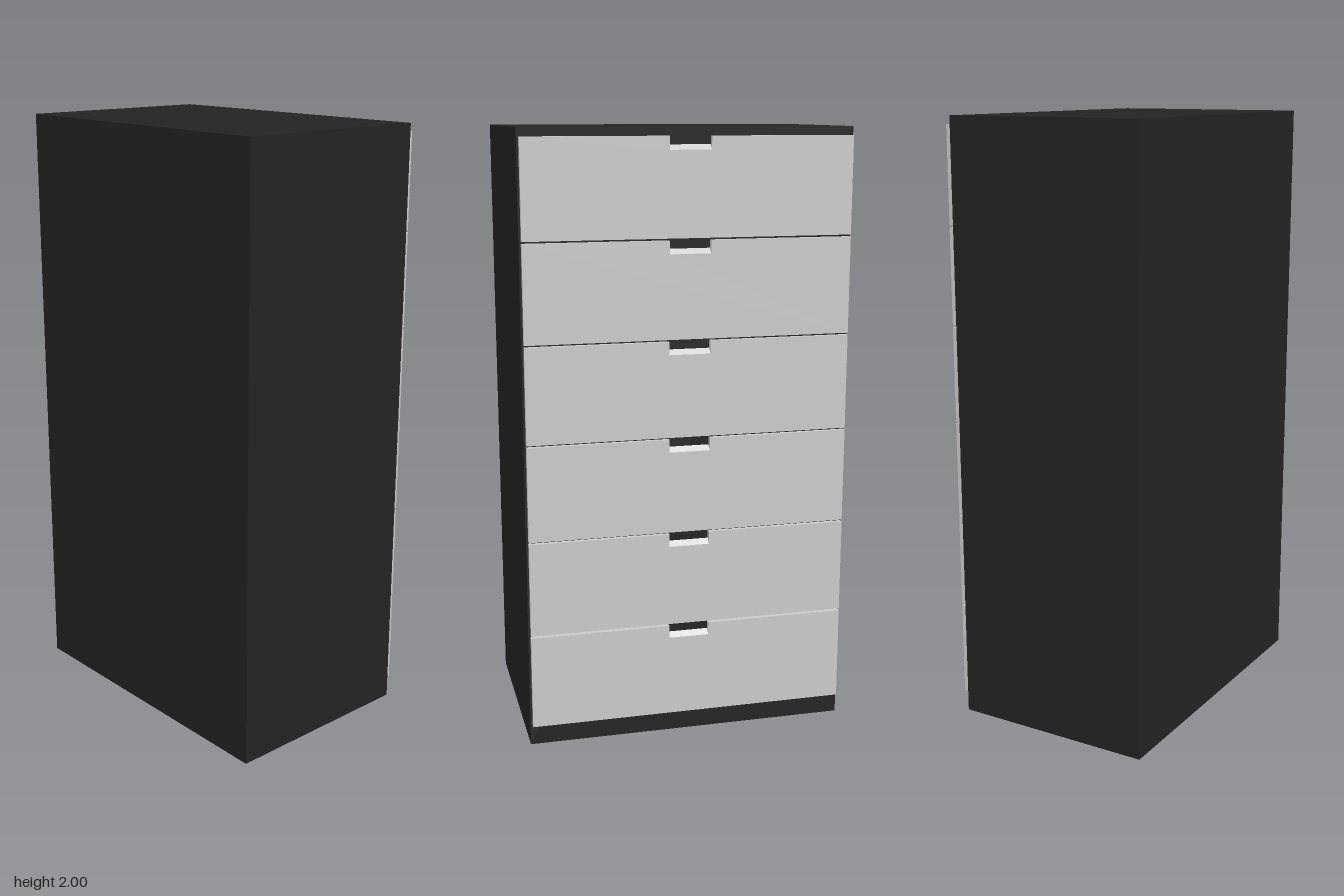
import * as THREE from 'three';

const charcoal = new THREE.MeshStandardMaterial({ color: 0x232323 });
charcoal.name = 'charcoal';
const paleGrey = new THREE.MeshStandardMaterial({ color: 0xcacaca });
paleGrey.name = 'paleGrey';

const BACK = -0.333, FACE = -0.349, DEPTH = BACK - FACE;
const LEFT = -0.532, RIGHT = 0.528, HEIGHT = 0.312, PITCH = 0.3186;
const GRIP_L = -0.068, GRIP_R = 0.066, GRIP_DEEP = 0.042;

// Drawer front with a finger notch cut in its top edge
function drawerFrontGeometry() {
  const s = new THREE.Shape([
    [LEFT, 0], [RIGHT, 0], [RIGHT, HEIGHT], [GRIP_R, HEIGHT],
    [GRIP_R, HEIGHT - GRIP_DEEP], [GRIP_L, HEIGHT - GRIP_DEEP],
    [GRIP_L, HEIGHT], [LEFT, HEIGHT],
  ].map(([x, y]) => new THREE.Vector2(x, y)));
  const g = new THREE.ExtrudeGeometry(s, { depth: DEPTH, bevelEnabled: false });
  return g.translate(0, 0, FACE);
}

// Sloping floor of the notch, rising towards the cabinet
function gripGeometry() {
  const s = new THREE.Shape([
    new THREE.Vector2(0, 0), new THREE.Vector2(DEPTH, 0), new THREE.Vector2(0, DEPTH),
  ]);
  const g = new THREE.ExtrudeGeometry(s, { depth: GRIP_R - GRIP_L, bevelEnabled: false });
  // Profile x becomes -z, extrusion runs along x
  g.rotateY(Math.PI / 2);
  return g.translate(GRIP_L, HEIGHT - GRIP_DEEP, BACK);
}

export function createModel() {
  const model = new THREE.Group();
  model.name = 'chestOfDrawers';

  // Cabinet body
  const cabinet = new THREE.Mesh(new THREE.BoxGeometry(1.07, 2, 0.68), charcoal);
  cabinet.name = 'cabinet';
  cabinet.position.set(0, 1, 0.007);
  model.add(cabinet);

  // Six stacked drawers
  const frontGeo = drawerFrontGeometry(), gripGeo = gripGeometry();
  for (let i = 0; i < 6; i++) {
    const drawer = new THREE.Group();
    drawer.name = `drawer${i + 1}`;
    const front = new THREE.Mesh(frontGeo, paleGrey);
    front.name = 'drawerFront';
    const grip = new THREE.Mesh(gripGeo, paleGrey);
    grip.name = 'drawerGrip';
    drawer.add(front, grip);
    drawer.position.y = 0.068 + i * PITCH;
    model.add(drawer);
  }
  return model;
}
